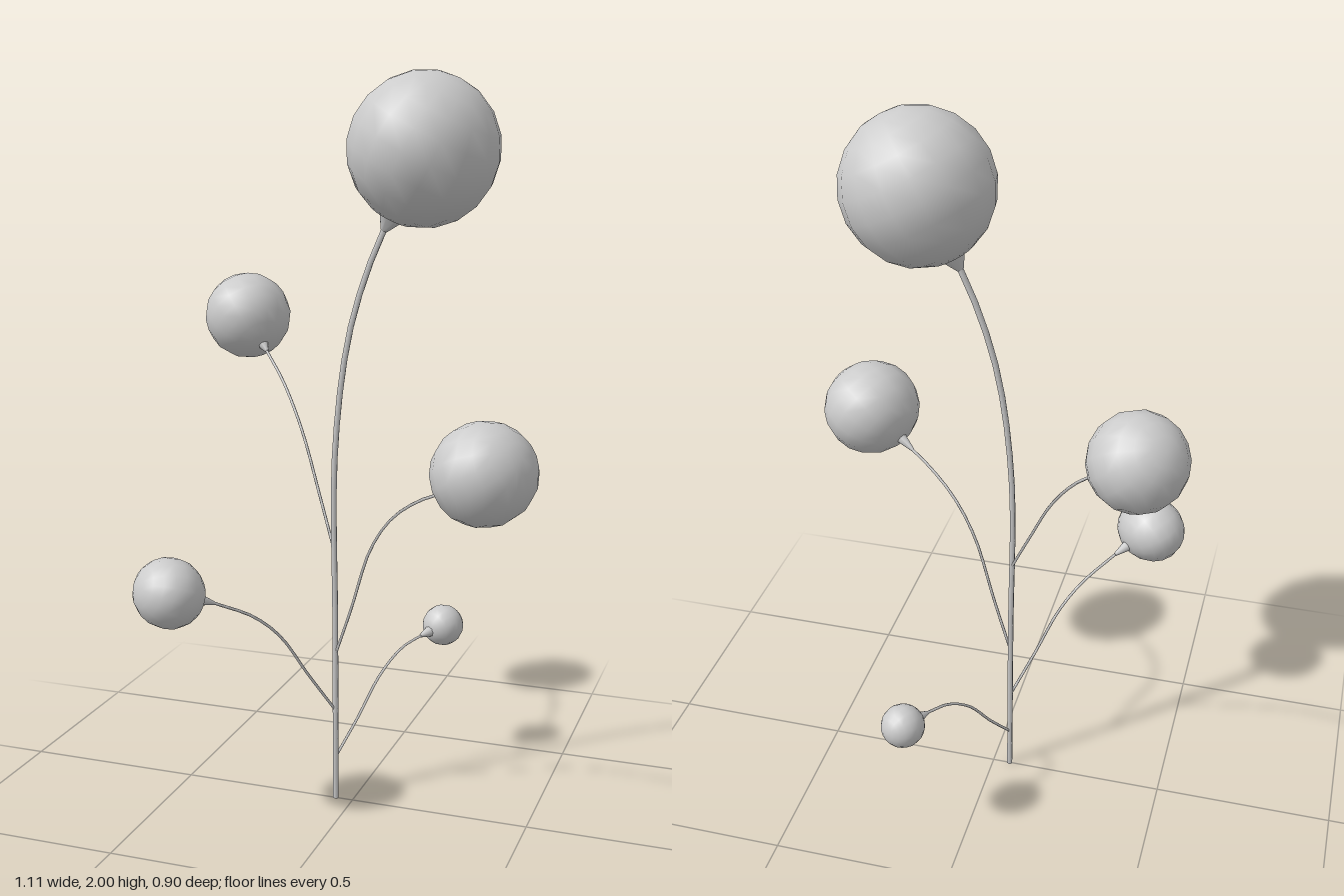
import * as THREE from 'three';

const TRUNK_X = -0.05;
const UP = new THREE.Vector3(0, 1, 0);
const material = new THREE.MeshStandardMaterial({ color: 0xcccccc });

function addMesh(parent, name, geometry) {
  const mesh = new THREE.Mesh(geometry, material);
  mesh.name = name;
  parent.add(mesh);
  return mesh;
}

// Stalk through the points, with a flared collar and a ball at its tip.
// wide stretches the ball sideways, across the stalk's direction.
function addStalk(parent, name, { points, center, radius, wide = 1, thick, collar, segments }) {
  const group = new THREE.Group();
  group.name = name;
  parent.add(group);

  const path = new THREE.CatmullRomCurve3(points, false, 'centripetal');
  addMesh(group, 'stalk', new THREE.TubeGeometry(path, segments, thick, 6));

  // Frame at the tip: local y points along the stalk, local x is level
  const tip = points[points.length - 1];
  const axis = center.clone().sub(tip).normalize();
  const side = new THREE.Vector3().crossVectors(UP, axis).normalize();
  const frame = new THREE.Matrix4().makeBasis(side, axis, new THREE.Vector3().crossVectors(side, axis));

  // Collar reaches just inside the ball
  const length = center.distanceTo(tip) - radius * 0.95;
  const cup = addMesh(group, 'collar', new THREE.CylinderGeometry(collar, thick * 1.2, length, 8));
  cup.quaternion.setFromRotationMatrix(frame);
  cup.position.copy(tip).addScaledVector(axis, length / 2);

  const ball = addMesh(group, 'ball', new THREE.SphereGeometry(radius, 16, 10));
  ball.quaternion.setFromRotationMatrix(frame);
  ball.position.copy(center);
  ball.scale.x = wide;
}

export function createModel() {
  const model = new THREE.Group();
  model.name = 'ballPlant';

  // Main stem, upright and then leaning to the left
  const stem = [[-0.05, 0], [-0.05, 0.5], [-0.05, 1], [-0.015, 1.3], [0.035, 1.48], [0.085, 1.6]];
  addStalk(model, 'mainStem', {
    points: stem.map(([x, y]) => new THREE.Vector3(x, y, 0)),
    center: new THREE.Vector3(0.19, 1.805, 0),
    radius: 0.197, thick: 0.008, collar: 0.036, segments: 18,
  });

  // Side branches: each lies in a vertical plane from the stem to its ball;
  // profile holds [fraction of the way out, height]
  const branches = [
    { name: 'upperBranch', center: [-0.435, 1.315, -0.328], radius: 0.124, collar: 0.016,
      profile: [[0, 0.72], [0.17, 0.87], [0.36, 1.03], [0.57, 1.15], [0.77, 1.225]] },
    { name: 'middleBranch', center: [0.42, 1.037, 0.232], radius: 0.132, wide: 1.06, collar: 0.016,
      profile: [[0, 0.43], [0.12, 0.58], [0.255, 0.76], [0.4, 0.86], [0.575, 0.925], [0.7, 0.955]] },
    { name: 'lowerBranch', center: [-0.383, 0.682, 0.348], radius: 0.093, wide: 1.15, collar: 0.016,
      profile: [[0, 0.265], [0.18, 0.39], [0.345, 0.51], [0.51, 0.58], [0.74, 0.635]] },
    { name: 'smallBranch', center: [0.155, 0.415, -0.372], radius: 0.06, collar: 0.016,
      profile: [[0, 0.125], [0.2, 0.22], [0.4, 0.325], [0.6, 0.385], [0.78, 0.403]] },
  ];
  for (const { name, center: [x, y, z], profile, ...rest } of branches) {
    const points = profile.map(([t, h]) =>
      new THREE.Vector3(TRUNK_X + (x - TRUNK_X) * t, h, z * t));
    addStalk(model, name, {
      points, center: new THREE.Vector3(x, y, z), thick: 0.004, segments: 14, ...rest,
    });
  }
  return model;
}
